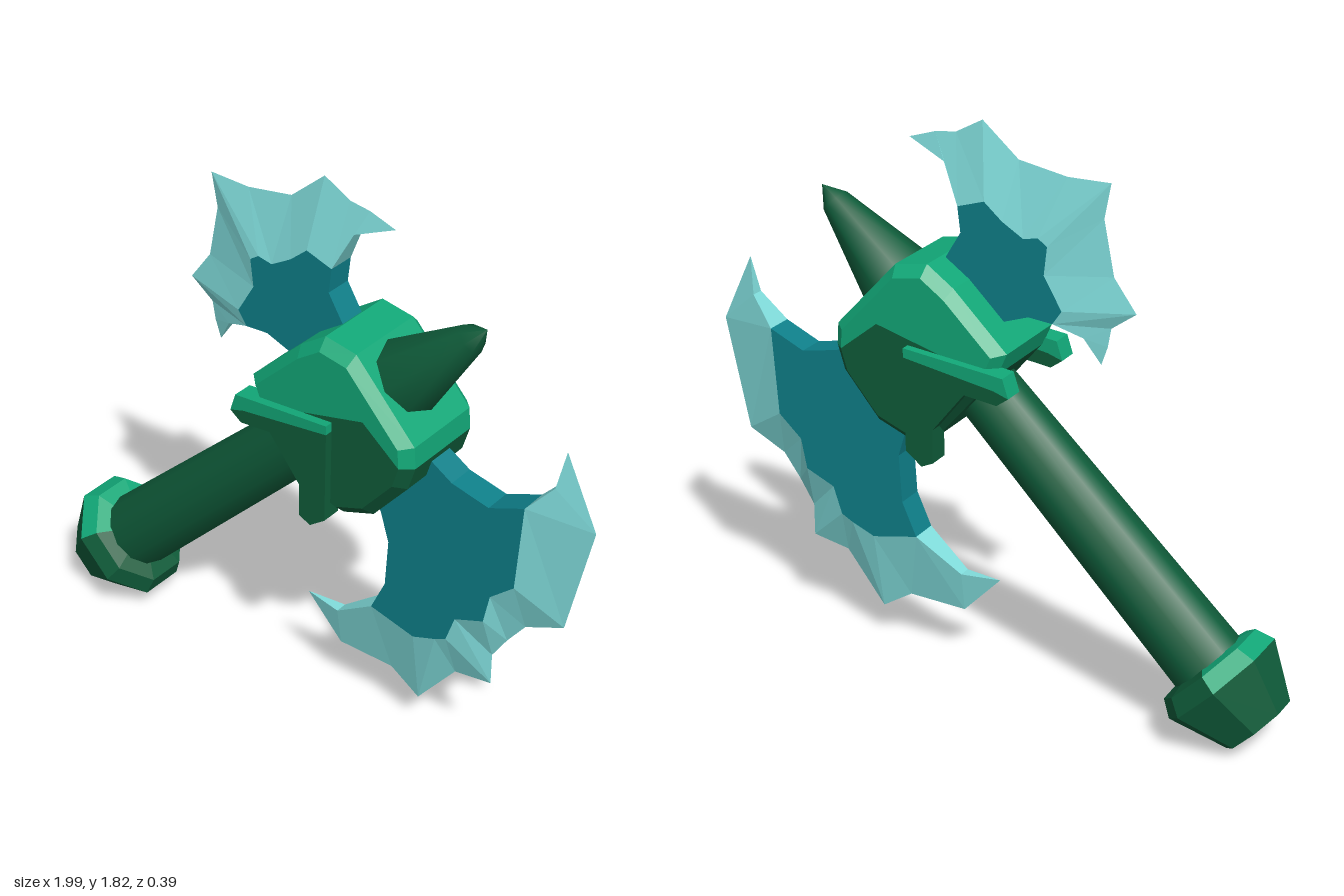
import * as THREE from 'three';

const mat = (name, color) => new THREE.MeshStandardMaterial({ name, color, side: THREE.DoubleSide });

// flat-faced mesh from a list of triangles made of [x, y, z] corners
function facets(name, tris, material) {
  const g = new THREE.BufferGeometry();
  g.setAttribute('position', new THREE.Float32BufferAttribute(tris.flat(2), 3));
  g.computeVertexNormals();
  const m = new THREE.Mesh(g, material);
  m.name = name;
  return m;
}
const quad = (a, b, c, d) => [[a, b, c], [a, c, d]];
const flip = (p) => [p[0], p[1], -p[2]];
const mirrored = (tris) => [...tris, ...tris.map(([a, b, c]) => [flip(a), flip(c), flip(b)])];

// flat plate with its outline in x, y
function plate(name, pts, z0, z1, material) {
  const shape = new THREE.Shape(pts.map((p) => new THREE.Vector2(p[0], p[1])));
  const g = new THREE.ExtrudeGeometry(shape, { depth: z1 - z0, bevelEnabled: false });
  g.translate(0, 0, z0);
  const m = new THREE.Mesh(g, material);
  m.name = name;
  return m;
}

export function createModel() {
  const darkGreen = mat('dark green', 0x0f5c3a);
  const brightGreen = mat('bright green', 0x12a878);
  const teal = mat('teal', 0x0e7f89);
  const pale = mat('pale cyan', 0x80dcdb);
  const root = new THREE.Group();
  root.name = 'doubleAxe';

  // shaft parts share a tilted frame whose y runs along the handle
  const shaft = new THREE.Group();
  shaft.name = 'shaft';
  shaft.rotation.z = -0.813;
  shaft.position.set(-0.475, 0.503, 0);
  root.add(shaft);

  const handle = new THREE.Mesh(new THREE.CylinderGeometry(0.102, 0.127, 1.2, 12), darkGreen);
  handle.name = 'handle';
  handle.position.y = 0.2;
  handle.scale.z = 0.92;
  shaft.add(handle);

  const spikeProfile = [[0.117, 1.03], [0.12, 1.13], [0.045, 1.425], [0, 1.49]];
  const spike = new THREE.Mesh(
    new THREE.LatheGeometry(spikeProfile.map((p) => new THREE.Vector2(...p)), 8), darkGreen);
  spike.name = 'spike';
  shaft.add(spike);

  // eight-sided pommel, bright on the upper part of its collar
  const rings = [[0, -0.605], [0.125, -0.605], [0.21, -0.43], [0.182, -0.373], [0.11, -0.36]];
  const corner = (r, i) => {
    const a = Math.PI / 8 + i * Math.PI / 4;
    return [r[0] * Math.cos(a), r[1], r[0] * Math.sin(a) * 0.93];
  };
  const pommelDark = [], pommelBright = [];
  for (let k = 0; k < rings.length - 1; k++) {
    for (let i = 0; i < 8; i++) {
      const bright = k >= 2 && i >= 2 && i <= 4; // facets around -x face upwards
      (bright ? pommelBright : pommelDark).push(...quad(
        corner(rings[k], i), corner(rings[k + 1], i),
        corner(rings[k + 1], i + 1), corner(rings[k], i + 1)));
    }
  }
  shaft.add(facets('pommel', pommelDark, darkGreen), facets('pommelCollar', pommelBright, brightGreen));

  // chamfered head block: bright upper half, dark lower half
  const outline = [[-0.09, 1.1], [-0.12, 1.17], [0.06, 1.34], [0.15, 1.4], [0.26, 1.38], [0.47, 1.15],
    [0.475, 1.08], [0.45, 1.0], [0.33, 0.86], [0.22, 0.82], [0.12, 0.85]];
  const hub = [0.31, 1.19, 0.17], mid = [0.18, 1.11];
  const headDark = [], headBright = [];
  outline.forEach((p, i) => {
    const q = outline[(i + 1) % outline.length];
    const rim = (c) => [c[0], c[1], 0.135];
    const inset = (c) => [mid[0] + (c[0] - mid[0]) * 0.88, mid[1] + (c[1] - mid[1]) * 0.88, 0.17];
    const side = [
      ...quad(rim(p), rim(q), [q[0], q[1], 0], [p[0], p[1], 0]),
      ...quad(inset(p), inset(q), rim(q), rim(p)),
      [hub, inset(q), inset(p)],
    ];
    (i < 6 ? headBright : headDark).push(...mirrored(side));
  });
  root.add(facets('headUpper', headBright, brightGreen), facets('headLower', headDark, darkGreen));

  // angled bracket on each face of the head
  const arm = [[-0.16, 1.06], [-0.14, 1.12], [-0.08, 1.125], [0.2, 1.145], [0.2, 1.115], [-0.11, 1.075]];
  const brace = [[-0.16, 1.06], [-0.11, 1.075], [0.2, 1.115], [0.195, 0.81], [0.14, 0.77],
    [0.1, 0.79], [0.1, 0.9], [-0.01, 1.04], [-0.12, 1.03]];
  for (const s of [1, -1]) {
    const [a, b] = s > 0 ? [0.13, 0.197] : [-0.197, -0.13];
    root.add(plate('bracketTop', arm, a, b, brightGreen), plate('bracketBrace', brace, a, b, darkGreen));
  }

  // blade: ribs [inner x, inner y, half thickness, outer x, outer y] from horn to horn
  const T = 0.045;
  function blade(name, ribs, neck) {
    const g = new THREE.Group();
    g.name = name;
    const body = ribs.filter((r) => r[2] === T);
    g.add(plate(name + 'Body', [...body, ...neck], -T, T, teal));
    const edge = [], walls = [];
    for (let i = 0; i < ribs.length - 1; i++) {
      const a = ribs[i], b = ribs[i + 1];
      const ai = a.slice(0, 3), bi = b.slice(0, 3);
      edge.push(...quad(ai, bi, [b[3], b[4], 0], [a[3], a[4], 0]));
      if (a[2] < T || b[2] < T) walls.push(...quad(ai, flip(ai), flip(bi), bi));
    }
    g.add(facets(name + 'Edge', [...mirrored(edge), ...walls], pale));
    root.add(g);
  }

  blade('largeBlade', [
    [0.89, 1.24, 0, 0.89, 1.24], [0.87, 1.12, 0.02, 0.95, 1.115], [0.79, 1.03, T, 1.0, 1.01],
    [0.77, 0.74, T, 0.92, 0.64], [0.69, 0.67, T, 0.79, 0.58], [0.67, 0.57, T, 0.73, 0.5],
    [0.57, 0.53, T, 0.68, 0.42], [0.54, 0.44, T, 0.68, 0.31], [0.5, 0.42, T, 0.55, 0.29],
    [0.42, 0.39, T, 0.415, 0.12], [0.26, 0.43, T, 0.31, 0.19],
    [0.11, 0.325, 0.02, 0.11, 0.19], [-0.02, 0.33, 0, -0.02, 0.33],
  ], [[0.31, 0.54], [0.32, 0.7], [0.29, 0.8], [0.25, 0.87], [0.3, 1.05], [0.46, 1.06], [0.54, 1.01], [0.67, 0.98]]);

  blade('smallBlade', [
    [-0.36, 1.14, 0, -0.36, 1.14], [-0.31, 1.22, 0.02, -0.38, 1.2], [-0.22, 1.255, T, -0.39, 1.26],
    [-0.25, 1.3, T, -0.47, 1.32], [-0.19, 1.4, T, -0.395, 1.42], [-0.2, 1.49, T, -0.36, 1.59],
    [-0.17, 1.51, T, -0.38, 1.7], [-0.12, 1.5, T, -0.24, 1.695], [-0.05, 1.54, T, -0.08, 1.72],
    [0.01, 1.59, T, 0.04, 1.82], [0.1, 1.56, T, 0.13, 1.77],
    [0.16, 1.68, 0.02, 0.2, 1.76], [0.29, 1.73, 0, 0.29, 1.73],
  ], [[0.09, 1.48], [0.15, 1.38], [0.1, 1.25], [-0.02, 1.2], [-0.06, 1.23], [-0.14, 1.26]]);

  return root;
}
